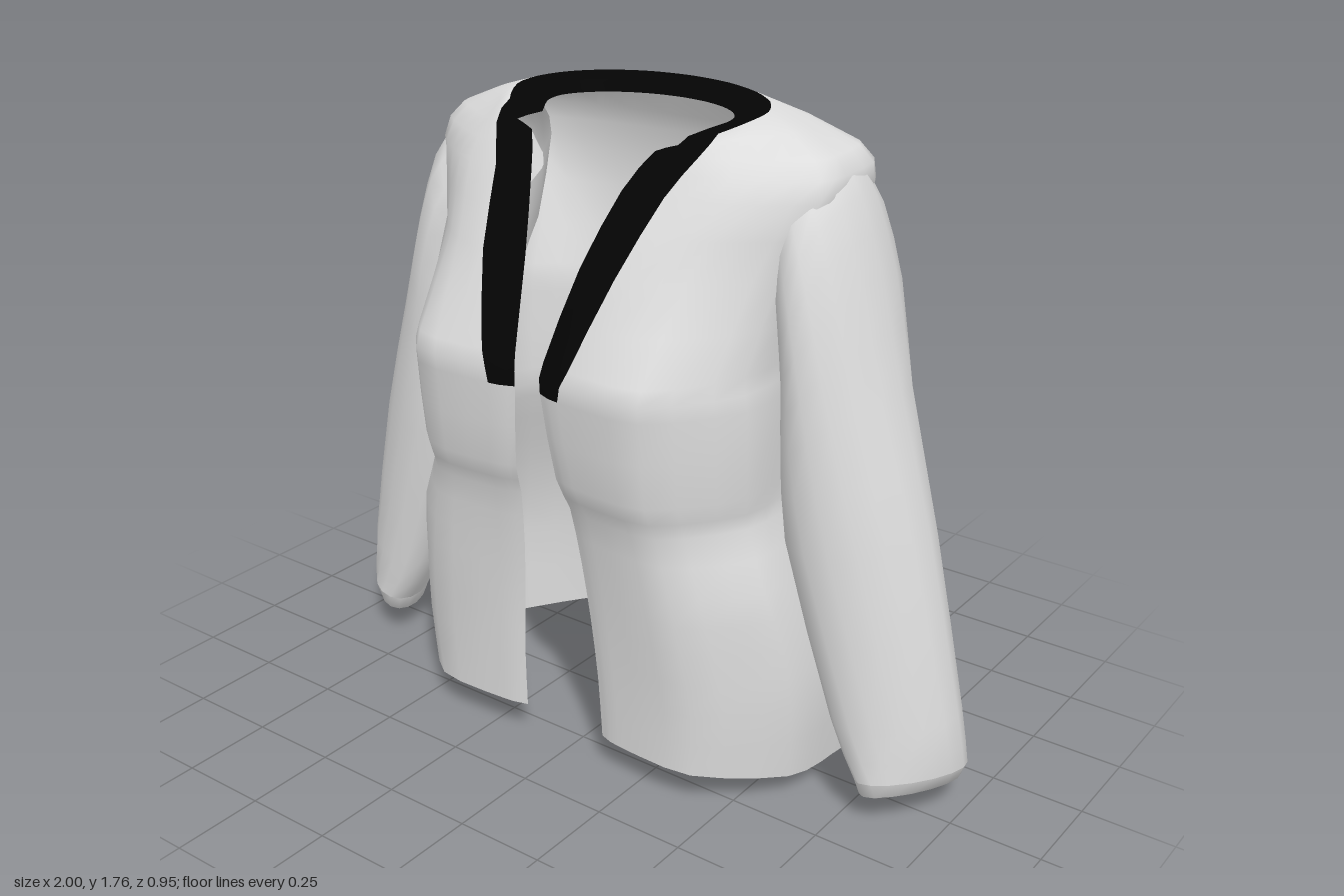
import * as THREE from 'three';

const cloth = new THREE.MeshStandardMaterial({ color: 0xdcdcdc, side: THREE.DoubleSide });
cloth.name = 'pale grey cloth';
const trim = new THREE.MeshStandardMaterial({ color: 0x040404, side: THREE.DoubleSide });
trim.name = 'black trim';

const V = (x, y, z) => new THREE.Vector3(x, y, z);
const { lerp, clamp } = THREE.MathUtils;

// Smoothly subdivide a line of points, n steps per span
function refine(points, n) {
  const curve = new THREE.CatmullRomCurve3(points, false, 'catmullrom', 0.4);
  const steps = (points.length - 1) * n;
  return Array.from({ length: steps + 1 }, (_, i) => curve.getPoint(i / steps));
}

// Refine each column of points along the stack of rows
function refineRows(rows, n) {
  const columns = rows[0].map((_, u) => refine(rows.map((r) => r[u]), n));
  return columns[0].map((_, v) => columns.map((c) => c[v]));
}

// Skin a stack of rows; isTrim(v, u) picks the trim-coloured faces
function skin(name, rows, closed, isTrim) {
  const w = rows[0].length;
  const faces = [[], []];
  for (let v = 0; v < rows.length - 1; v++) {
    for (let u = 0; u < (closed ? w : w - 1); u++) {
      const a = v * w + u, b = v * w + ((u + 1) % w), c = a + w, d = b + w;
      faces[isTrim(v, u) ? 1 : 0].push(a, b, d, a, d, c);
    }
  }
  const g = new THREE.BufferGeometry().setFromPoints(rows.flat());
  g.setIndex(faces.flat());
  g.addGroup(0, faces[0].length, 0);
  g.addGroup(faces[0].length, faces[1].length, 1);
  g.computeVertexNormals();
  const mesh = new THREE.Mesh(g, [cloth, trim]);
  mesh.name = name;
  return mesh;
}

// Body sections: height, front edge x and z, side x and z, back z
const SECTIONS = [
  [0, .13, .33, .62, -.05, -.47],
  [.28, .125, .34, .63, -.03, -.455],
  [.46, .11, .35, .6, -.02, -.435],
  [.62, .095, .365, .56, 0, -.39],
  [.78, .08, .39, .515, .02, -.33],
  [.87, .065, .425, .505, .02, -.31],
  [1.1, .04, .45, .505, .01, -.318],
  [1.18, .045, .44, .505, 0, -.335],
  [1.4, .085, .345, .53, -.04, -.36],
  [1.58, .14, .25, .595, -.06, -.33],
  [1.67, .19, .185, .555, -.07, -.285],
];
const COLLAR_START = 6;

// Half section from the front edge, over the chest and side, to the back centre
function bodyHalf([y, ex, ez, sx, sz, bz], row) {
  const chestZ = ez + (y < 1.2 ? .015 : -.04);
  const lapel = clamp(.07 + (y - 1.1) * .25, .07, .12);
  const shoulder = y > 1.3;
  const half = [
    V(ex, y, ez),
    V(ex + lapel, y, ez + (y < 1.5 ? .02 : -.005)),
    V(sx * .69, y, chestZ),
    V(sx * .98, y, lerp(chestZ, sz, .48)),
    V(sx, y, sz),
    V(sx * .94, y, lerp(sz, bz, shoulder ? .62 : .45)),
    V(sx * .56, y, lerp(sz, bz, .88)),
    V(0, y, bz),
  ];
  // The hem dips toward the back of each side
  if (row === 0) half.forEach((p) => { p.y = p.z > -.24 ? (p.z + .24) * .17 : .07 * ((-.24 - p.z) / .23) ** 2; });
  // Hip pockets and chest flaps stand out at the front corners
  if (y > .4 && y < .7) {
    half[2].z += .012;
    half[3].x += .012;
    half[3].z += y > .5 ? .03 : .01;
  }
  if (y > .85 && y < 1.15) half[3].x += .015;
  return half;
}

// Half of an oval neck ring, from a front angle in degrees round to the back
function neckHalf(start, rx, rz, y, rise) {
  return Array.from({ length: 8 }, (_, i) => {
    const a = THREE.MathUtils.degToRad(lerp(start, 180, i / 7)), c = Math.cos(a);
    return V(rx * Math.sin(a), y - rise * c - .08 * Math.max(0, c) ** 2, rz * c);
  });
}

// Open-fronted body with lapels and neckband
function makeBody() {
  const US = 3, VS = 2;
  const halves = [...SECTIONS.map(bodyHalf), neckHalf(42, .365, .24, 1.742, .015), neckHalf(60, .26, .2, 1.712, -.005)];
  const rows = halves.map((half) =>
    refine([...half, ...half.slice(0, 7).reverse().map((q) => V(-q.x, q.y, q.z))], US));
  const spans = 14 * US, top = SECTIONS.length * VS;
  return skin('body', refineRows(rows, VS), false, (v, u) =>
    v >= top || (v >= COLLAR_START * VS && (u < US || u >= spans - US)));
}

// Sleeve rings: outer x,y, inner x,y, z centre, half depth
const SLEEVE = [
  [.44, 1.68, .45, 1.42, -.06, .14],
  [.55, 1.665, .46, 1.32, -.055, .185],
  [.62, 1.58, .48, 1.22, -.045, .215],
  [.69, 1.39, .5, 1.08, -.035, .22],
  [.77, 1.12, .505, .93, -.005, .19],
  [.88, .76, .535, .72, .02, .16],
  [.985, .3, .7, .27, .03, .125],
  [1.0, .14, .785, .12, .025, .115],
];
const CUFF_TILT = .15;

function makeSleeve(side) {
  // The wrist turns so that its outer edge lies further back
  const ring = (index, tilt, inset = 0, lift = 0) => {
    const [ox, oy, ix, iy, cz, h] = SLEEVE[index];
    const twist = -.08 * (index / 7) ** 2;
    return Array.from({ length: 16 }, (_, i) => {
      const a = (i / 16) * Math.PI * 2, k = (1 + Math.cos(a)) / 2;
      const dz = (h - inset) * Math.sin(a) * side;
      return V(side * lerp(ix + inset, ox - inset, k), lerp(iy, oy, k) + tilt * dz + lift,
        cz + dz + twist * Math.cos(a));
    });
  };
  const end = SLEEVE.length - 1;
  const rows = SLEEVE.map((_, i) => ring(i, i === end ? CUFF_TILT : 0));

  // Turned-in cuff: rounded cloth rim, then a dark lining inside the opening
  const cuff = [ring(end, CUFF_TILT), ring(end, CUFF_TILT, .015, -.04),
    ring(end, CUFF_TILT, .045, -.045), ring(end, CUFF_TILT, .05, 0)];
  const label = side > 0 ? 'left' : 'right';
  return [
    skin(label + 'Sleeve', refineRows(rows, 2), true, () => false),
    skin(label + 'Cuff', cuff, true, (v) => v > 1),
  ];
}

export function createModel() {
  const jacket = new THREE.Group();
  jacket.name = 'jacket';
  jacket.add(makeBody(), ...makeSleeve(1), ...makeSleeve(-1));
  return jacket;
}
